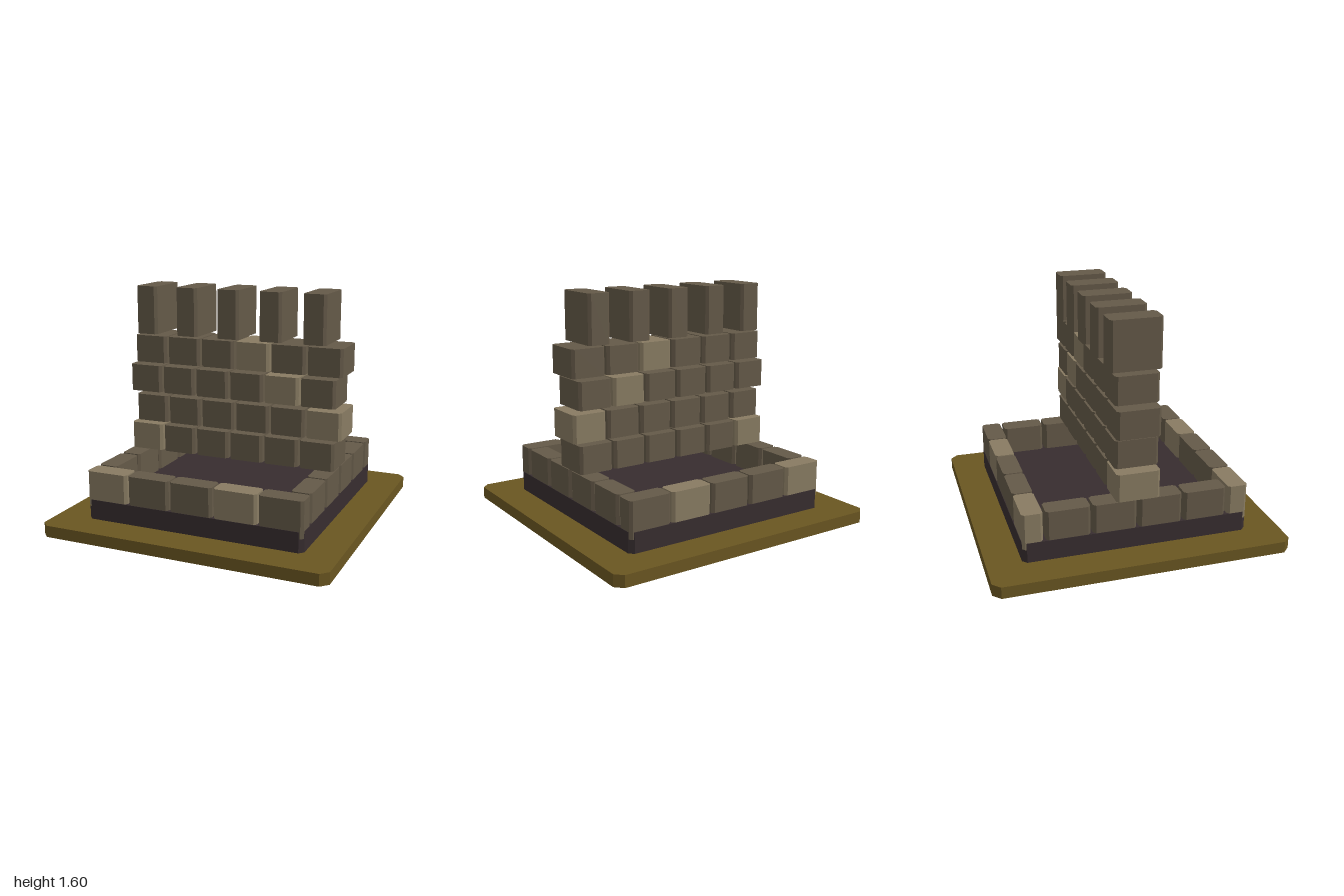
import * as THREE from 'three';

const material = (name, color) => {
  const m = new THREE.MeshStandardMaterial({ color });
  m.name = name;
  return m;
};

// Upright block with chamfered vertical edges, standing on y = 0
function blockGeometry(w, h, d, c) {
  const x = w / 2, z = d / 2;
  const outline = new THREE.Shape([
    [-x + c, -z], [x - c, -z], [x, -z + c], [x, z - c],
    [x - c, z], [-x + c, z], [-x, z - c], [-x, -z + c],
  ].map(([a, b]) => new THREE.Vector2(a, b)));
  const geometry = new THREE.ExtrudeGeometry(outline, { depth: h, bevelEnabled: false });
  return geometry.rotateX(-Math.PI / 2);
}

export function createModel() {
  const model = new THREE.Group();
  model.name = 'ruinedWall';

  const earth = material('earth', 0x6a5621);
  const darkFloor = material('darkFloor', 0x372d2f);
  const stone = material('stone', 0x645948);
  const paleStone = material('paleStone', 0x887b62);

  const add = (parent, name, geometry, mat, x, y, z) => {
    const mesh = new THREE.Mesh(geometry, mat);
    mesh.name = name;
    mesh.position.set(x, y, z);
    parent.add(mesh);
  };
  const group = (name) => {
    const g = new THREE.Group();
    g.name = name;
    model.add(g);
    return g;
  };

  // Ground slab and floor
  add(model, 'groundSlab', blockGeometry(2, 0.08, 2, 0.05), earth, 0, 0, 0);
  add(model, 'floor', blockGeometry(1.538, 0.137, 1.538, 0.03), darkFloor, 0, 0.08, 0);

  // Low curb of stones around the floor
  const curb = group('curb');
  const longStone = blockGeometry(0.297, 0.245, 0.137, 0.018);
  const sideStone = blockGeometry(0.137, 0.245, 0.293, 0.018);
  for (const side of [-1, 1]) {
    for (let i = 0; i < 5; i++) {
      const mat = i === 0 || i === 3 ? paleStone : stone;
      add(curb, 'curbStone', longStone, mat, (i - 2) * 0.309, 0.171, side * 0.698);
    }
    for (let i = 0; i < 4; i++) {
      add(curb, 'curbSideStone', sideStone, stone, side * 0.698, 0.171, (i - 1.5) * 0.31);
    }
  }

  // Middle wall: four staggered courses, one pale stone in each
  const wall = group('wall');
  const wallStone = blockGeometry(0.242, 0.191, 0.294, 0.018);
  const paleIndex = [0, 5, 4, 3];
  for (let row = 0; row < 4; row++) {
    const start = row % 2 ? -0.603 : -0.648;
    for (let i = 0; i < 6; i++) {
      const mat = i === paleIndex[row] ? paleStone : stone;
      add(wall, 'wallStone', wallStone, mat, start + i * 0.2575, 0.417 + row * 0.2145, 0);
    }
  }

  // Battlements
  const battlements = group('battlements');
  const merlon = blockGeometry(0.157, 0.334, 0.346, 0.018);
  for (let i = 0; i < 5; i++) {
    add(battlements, 'merlon', merlon, stone, (i - 2) * 0.308, 1.268, 0);
  }

  return model;
}
